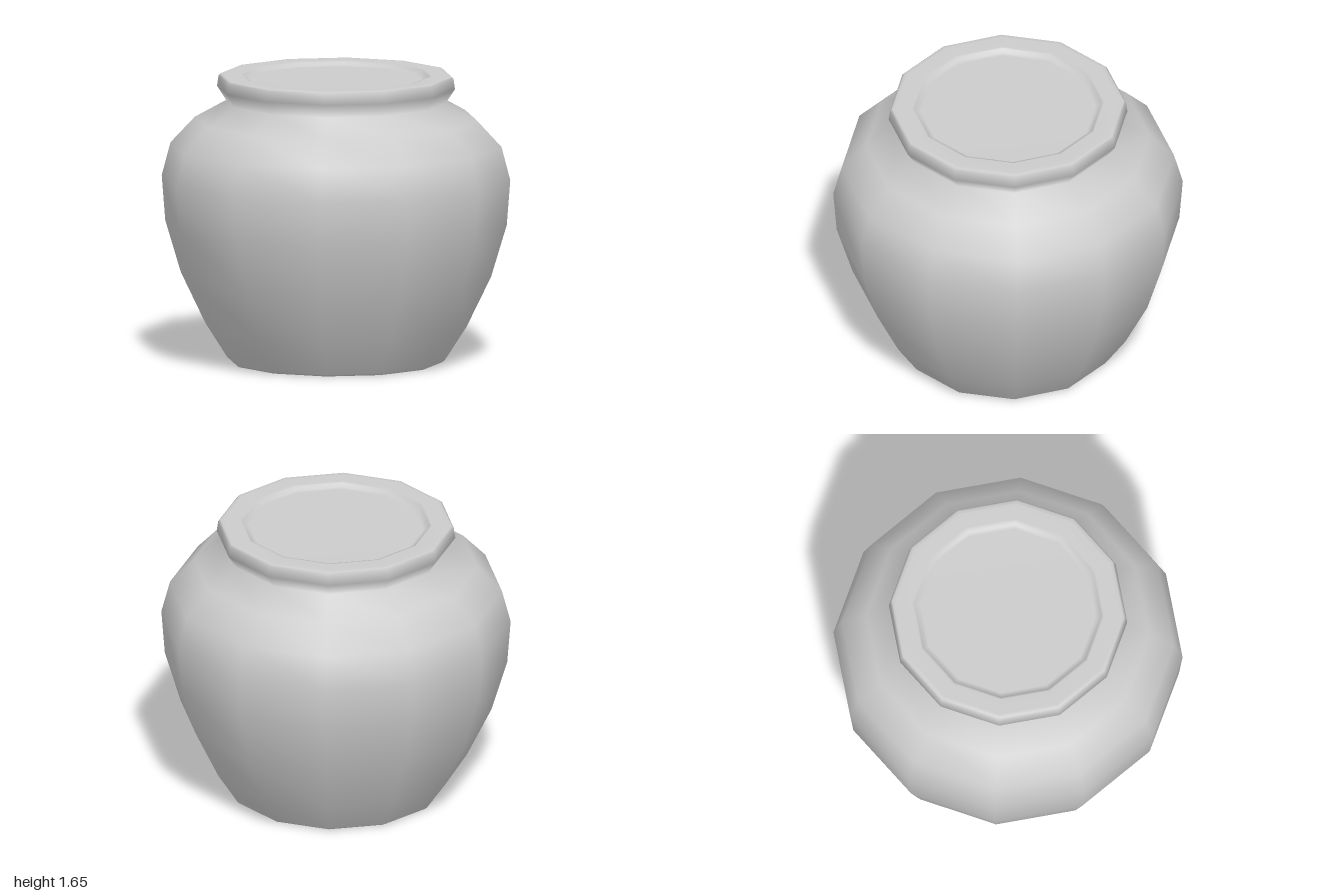
import * as THREE from 'three';

const SIDES = 12;

// Turn a [radius, height] profile into a smooth twelve-sided surface
function turned(name, profile, material) {
  const points = profile.map(([r, y]) => new THREE.Vector2(r, y));
  const mesh = new THREE.Mesh(new THREE.LatheGeometry(points, SIDES), material);
  mesh.name = name;
  return mesh;
}

export function createModel() {
  const group = new THREE.Group();
  group.name = 'pot';
  const clay = new THREE.MeshStandardMaterial({ color: 0xcccccc });

  // Flat base, swelling belly, pinched neck, flared rim and shallow recessed top
  group.add(turned('potBody', [
    [0, 0], [0.59, 0], [0.61, 0.003], [0.625, 0.015],
    [0.75, 0.21], [0.89, 0.5], [0.98, 0.8], [1, 1.06],
    [0.95, 1.25], [0.81, 1.4],
    [0.63, 1.5], [0.683, 1.58],
    [0.674, 1.642], [0.662, 1.653], [0.64, 1.653],
    [0.55, 1.653], [0.535, 1.65],
    [0.525, 1.63], [0.5, 1.625], [0, 1.625],
  ], clay));

  return group;
}
